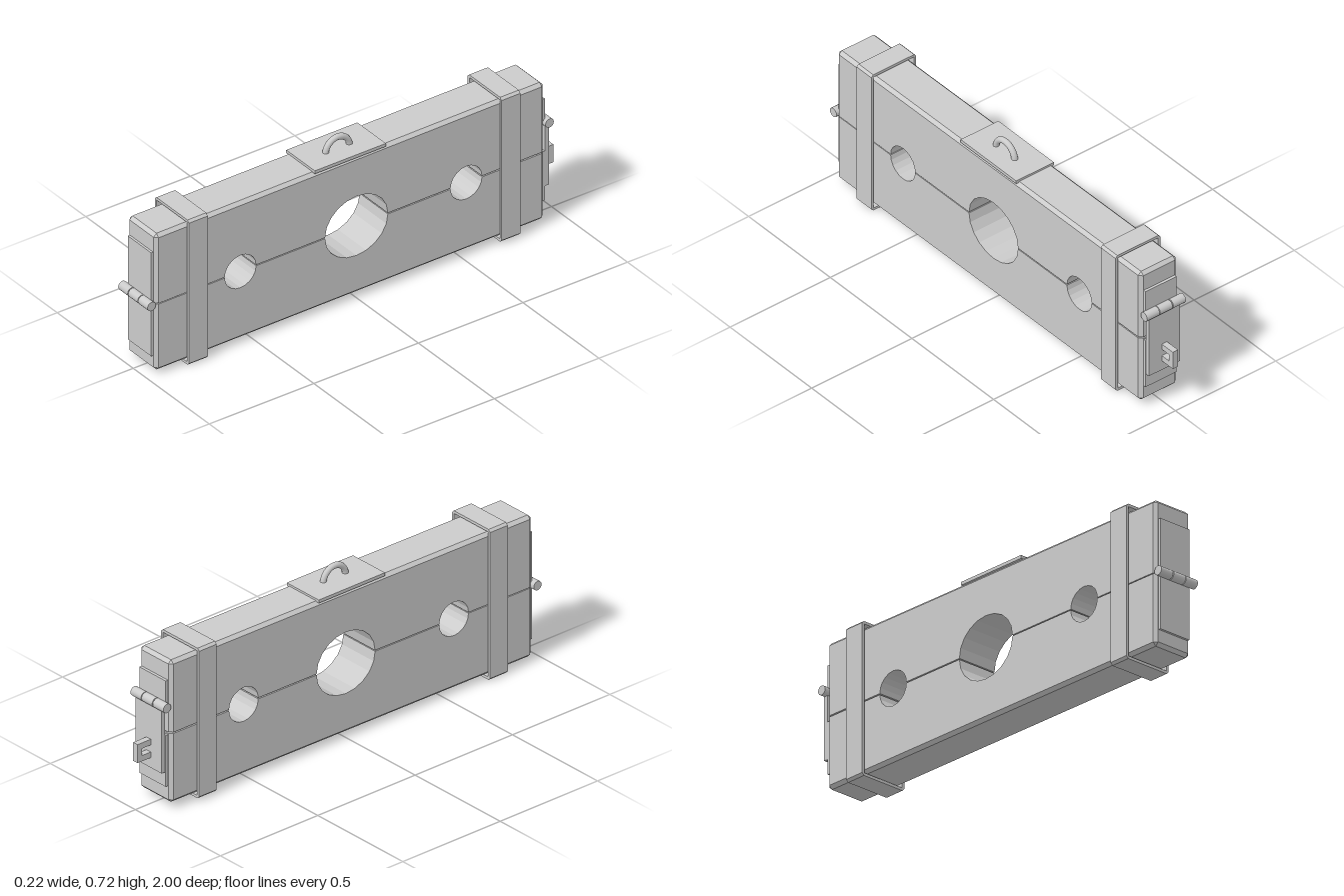
import * as THREE from 'three';

const mat = new THREE.MeshStandardMaterial({ color: 0xcccccc, flatShading: true });
const smooth = new THREE.MeshStandardMaterial({ color: 0xcccccc });

function add(parent, name, geo, x = 0, y = 0, z = 0, material = mat) {
  const m = new THREE.Mesh(geo, material);
  m.name = name;
  m.position.set(x, y, z);
  parent.add(m);
  return m;
}

// One half of the board. Outline runs along u = -z; side = 1 upper, -1 lower.
const U0 = -0.96, U1 = 0.9, HALF = 0.093, BEVEL = 0.014;
const HOLES = [[-0.555, 0.075, 0.072], [0, 0.15, 0.133], [0.525, 0.075, 0.072]];
function boardHalf(side, seam, edge, slope) {
  const pts = [[U0, seam]];
  for (const [c, ru, rv] of HOLES) {
    for (let i = 0; i <= 10; i++) {
      const a = Math.PI * (1 - i / 10);
      pts.push([c + ru * Math.cos(a), seam + side * rv * Math.sin(a)]);
    }
  }
  const inner = edge - side * BEVEL;
  pts.push([U1, seam], [U1, inner], [U1 - BEVEL, edge], [U0 + BEVEL, edge], [U0, inner]);
  const shape = new THREE.Shape(pts.map(p => new THREE.Vector2(...p)));
  const geo = new THREE.ExtrudeGeometry(shape, { depth: 3, steps: 3, bevelEnabled: false });
  // pull in the outermost layers to chamfer the outside edges only
  const pos = geo.attributes.position;
  const levels = [-HALF, -HALF + BEVEL, HALF - BEVEL, HALF];
  for (let i = 0; i < pos.count; i++) {
    const k = Math.round(pos.getZ(i));
    let u = pos.getX(i), v = pos.getY(i);
    if (k === 0 || k === 3) {
      u = THREE.MathUtils.clamp(u, U0 + BEVEL, U1 - BEVEL);
      v = side > 0 ? Math.min(v, inner) : Math.max(v, inner);
    }
    pos.setXYZ(i, u, v + slope * u, levels[k]);
  }
  geo.computeVertexNormals();
  return geo.rotateY(Math.PI / 2);
}

// Closed rectangular band around the board
function strapGeometry(y0, y1) {
  const w = 0.112, c = 0.01, t = 0.012;
  const s = new THREE.Shape([
    [-w + c, y0], [w - c, y0], [w, y0 + c], [w, y1 - c],
    [w - c, y1], [-w + c, y1], [-w, y1 - c], [-w, y0 + c],
  ].map(p => new THREE.Vector2(...p)));
  s.holes.push(new THREE.Path([
    [-w + t, y0 + t], [-w + t, y1 - t], [w - t, y1 - t], [w - t, y0 + t],
  ].map(p => new THREE.Vector2(...p))));
  return new THREE.ExtrudeGeometry(s, { depth: 0.09, bevelEnabled: false });
}

// Three barrel segments along x
function knuckles(parent, name, y, z) {
  const g = new THREE.Group();
  g.name = name;
  for (const x of [-0.068, -0.002, 0.063]) {
    const geo = new THREE.CylinderGeometry(0.02, 0.02, 0.062, 16).rotateZ(Math.PI / 2);
    add(g, 'knuckle', geo, x, y, z, smooth);
  }
  add(g, 'hingePin', new THREE.CylinderGeometry(0.012, 0.012, 0.18, 12).rotateZ(Math.PI / 2), 0, y, z, smooth);
  parent.add(g);
}

export function createModel() {
  const root = new THREE.Group();
  root.name = 'stocks';

  add(root, 'lowerBoard', boardHalf(-1, 0.3265, 0.021, 0.006));
  add(root, 'upperBoard', boardHalf(1, 0.331, 0.644, 0.007));

  add(root, 'frontStrap', strapGeometry(0, 0.661), 0, 0, 0.725);
  add(root, 'backStrap', strapGeometry(0.01, 0.669), 0, 0, -0.77);

  // Front hinge
  for (const [y0, y1] of [[0.083, 0.318], [0.324, 0.555]]) {
    add(root, 'hingePlate', new THREE.BoxGeometry(0.154, y1 - y0, 0.016), 0, (y0 + y1) / 2, 0.962);
  }
  knuckles(root, 'frontHinge', 0.322, 0.98);

  // Back hasp: fixed plates, swinging flap and staple
  add(root, 'upperLatchPlate', new THREE.BoxGeometry(0.154, 0.1, 0.018), 0, 0.515, -0.903);
  add(root, 'lowerLatchPlate', new THREE.BoxGeometry(0.154, 0.225, 0.018), 0, 0.213, -0.903);
  add(root, 'haspFlap', new THREE.BoxGeometry(0.154, 0.285, 0.018), 0, 0.308, -0.923);
  knuckles(root, 'haspHinge', 0.457, -0.923);
  const staple = new THREE.Group();
  staple.name = 'staple';
  for (const y of [0.222, 0.278]) {
    add(staple, 'stapleArm', new THREE.BoxGeometry(0.026, 0.025, 0.072), 0, y, -0.964);
  }
  add(staple, 'stapleBar', new THREE.BoxGeometry(0.026, 0.081, 0.024), 0, 0.25, -0.988);
  root.add(staple);

  // Carrying ring on its top plate
  add(root, 'handlePlate', new THREE.BoxGeometry(0.188, 0.014, 0.34), 0, 0.647, 0.03);
  const ring = new THREE.TorusGeometry(0.057, 0.013, 12, 20, Math.PI).rotateY(Math.PI / 2);
  add(root, 'handleRing', ring, 0.009, 0.647, 0.03, smooth);

  return root;
}
